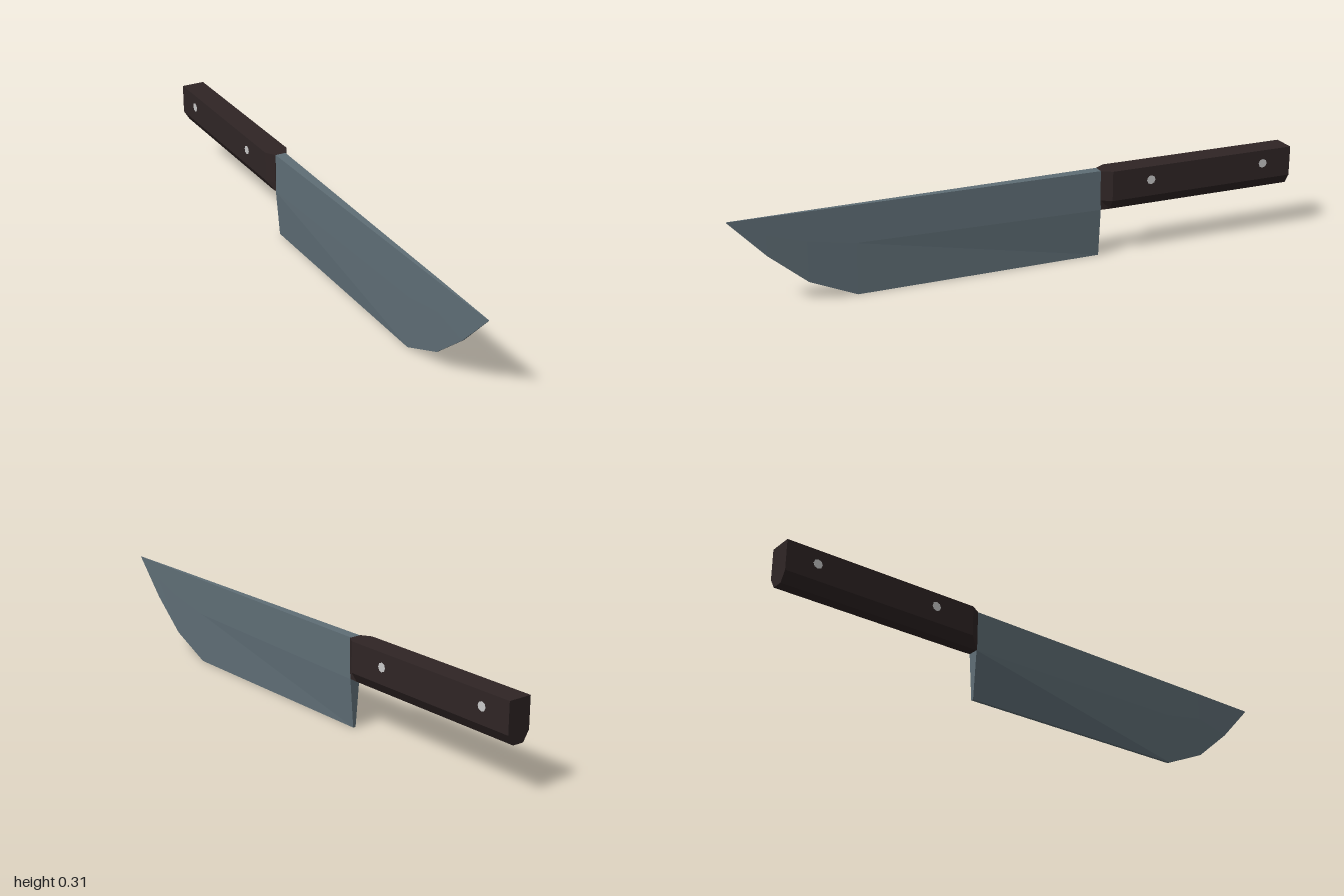
import * as THREE from 'three';

// Six-sided cross-section, counter-clockwise seen from +z
function section(z, top, mid, low, yTop, yMid, yLow) {
  return [
    [low, yLow, z], [mid, yMid, z], [top, yTop, z],
    [-top, yTop, z], [-mid, yMid, z], [-low, yLow, z],
  ];
}

// Faceted solid through sections ordered from back to front
function loft(sections) {
  const pos = [];
  const tri = (a, b, c) => pos.push(...a, ...b, ...c);
  for (let i = 0; i < sections.length - 1; i++) {
    const s = sections[i], t = sections[i + 1];
    for (let j = 0; j < 6; j++) {
      const k = (j + 1) % 6;
      tri(s[j], s[k], t[k]);
      tri(s[j], t[k], t[j]);
    }
  }
  const first = sections[0], last = sections[sections.length - 1];
  for (let j = 1; j < 5; j++) {
    tri(first[0], first[j + 1], first[j]);
    tri(last[0], last[j], last[j + 1]);
  }
  const geo = new THREE.BufferGeometry();
  geo.setAttribute('position', new THREE.Float32BufferAttribute(pos, 3));
  geo.computeVertexNormals();
  return geo;
}

export function createModel() {
  const steel = new THREE.MeshStandardMaterial({ color: 0x5f6e76 });
  steel.name = 'steel';
  const wood = new THREE.MeshStandardMaterial({ color: 0x2f2525 });
  wood.name = 'darkWood';
  const metal = new THREE.MeshStandardMaterial({ color: 0xc8c8c8 });
  metal.name = 'rivetMetal';

  const group = new THREE.Group();
  group.name = 'knife';
  const add = (name, geo, mat) => {
    const mesh = new THREE.Mesh(geo, mat);
    mesh.name = name;
    group.add(mesh);
    return mesh;
  };

  // Blade: thick heel and spine, tapering to the tip and cutting edge
  add('blade', loft([
    section(-0.272, 0.019, 0.019, 0.005, 0.31, 0.17, 0),
    section(0.59, 0.0075, 0.0075, 0.005, 0.31, 0.18, 0),
    section(0.75, 0.0055, 0.0055, 0.004, 0.31, 0.21, 0.07),
    section(0.88, 0.003, 0.003, 0.003, 0.31, 0.25, 0.18),
    section(1, 0.001, 0.001, 0.001, 0.31, 0.309, 0.308),
  ]), steel);

  // Handle: bevelled underside and a chamfered front end
  add('handle', loft([
    section(-1, 0.042, 0.042, 0.02, 0.31, 0.205, 0.17),
    section(-0.305, 0.042, 0.042, 0.02, 0.31, 0.205, 0.17),
    section(-0.27, 0.02, 0.02, 0.018, 0.31, 0.205, 0.17),
  ]), wood);

  // Rivets: thin discs on both sides of the handle
  for (const side of [1, -1]) {
    for (const [name, z] of [['frontRivet', -0.45], ['rearRivet', -0.89]]) {
      const geo = new THREE.CylinderGeometry(0.016, 0.016, 0.002, 8).toNonIndexed();
      geo.computeVertexNormals();
      const rivet = add(name, geo, metal);
      rivet.rotation.z = Math.PI / 2;
      rivet.position.set(side * 0.042, 0.262, z);
    }
  }
  return group;
}
